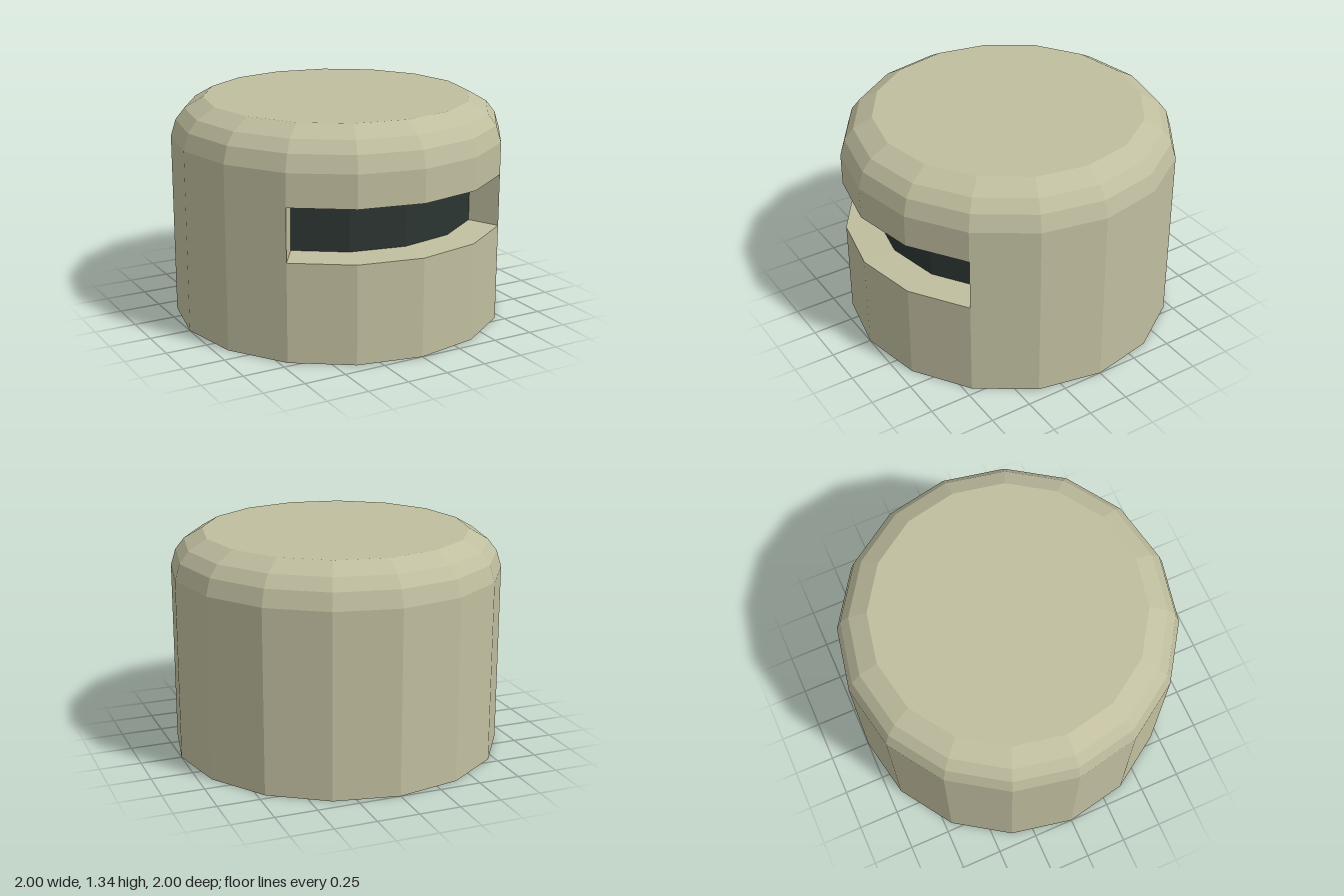
import * as THREE from 'three';

const SIDES = 16;
const STEP = (Math.PI * 2) / SIDES;

const shellMaterial = new THREE.MeshStandardMaterial({ color: 0xc0be9f, flatShading: true, side: THREE.DoubleSide });
const darkMaterial = new THREE.MeshStandardMaterial({ color: 0x2c3532, flatShading: true, side: THREE.DoubleSide });

// Slot: four facets wide, set into the front wall
const SLOT = { start: -2, count: 4, bottom: 0.59, top: 0.905 };
const INNER = { radius: 0.85, shift: -0.05, bottom: 0.6, top: 0.9 };

// Faceted surface of revolution; facet 0 starts at the middle of the front (+z)
function facets(profile, start = 0, count = SIDES) {
  const points = profile.map(([r, y]) => new THREE.Vector2(r, y));
  return new THREE.LatheGeometry(points, count, start * STEP, count * STEP);
}

// Push the vertices of the slot's inner wall back
function recess(geometry) {
  const p = geometry.attributes.position;
  for (let i = 0; i < p.count; i++) {
    if (Math.hypot(p.getX(i), p.getZ(i)) < 0.9) p.setZ(i, p.getZ(i) + INNER.shift);
  }
  return geometry;
}

function part(name, geometry, material = shellMaterial) {
  const flat = geometry.index ? geometry.toNonIndexed() : geometry;
  flat.computeVertexNormals();
  const mesh = new THREE.Mesh(flat, material);
  mesh.name = name;
  return mesh;
}

// Upright wall closing one end of the slot
function slotEnd(side) {
  const c = Math.SQRT1_2;
  const r = INNER.radius * c;
  const corners = [
    [c, SLOT.bottom, c], [c, SLOT.top, c],
    [r, INNER.top, r + INNER.shift], [r, INNER.bottom, r + INNER.shift],
  ].map(([x, y, z]) => [x * side, y, z]);
  const order = side > 0 ? [0, 2, 1, 0, 3, 2] : [0, 1, 2, 0, 2, 3];
  const geometry = new THREE.BufferGeometry();
  geometry.setAttribute('position', new THREE.Float32BufferAttribute(order.flatMap((i) => corners[i]), 3));
  return geometry;
}

export function createModel() {
  const model = new THREE.Group();
  model.name = 'slottedCap';

  // Outer wall, open at the bottom and broken by the slot
  const end = SLOT.start + SLOT.count;
  model.add(part('wall', facets([[1, 0], [1, 1.1]], end, SIDES - SLOT.count)));
  model.add(part('wallBelowSlot', facets([[1, 0], [1, SLOT.bottom]], SLOT.start, SLOT.count)));
  model.add(part('wallAboveSlot', facets([[1, SLOT.top], [1, 1.1]], SLOT.start, SLOT.count)));

  // Rounded shoulder and flat top
  model.add(part('shoulder', facets([[1, 1.1], [0.97, 1.2], [0.915, 1.27], [0.803, 1.335]])));
  const top = new THREE.CircleGeometry(0.803, SIDES).rotateX(-Math.PI / 2).translate(0, 1.335, 0);
  model.add(part('top', top));

  // Slot recess with a dark back
  const { radius, bottom, top: innerTop } = INNER;
  const slot = new THREE.Group();
  slot.name = 'slot';
  const ring = (profile) => recess(facets(profile, SLOT.start, SLOT.count));
  slot.add(part('slotFloor', ring([[1, SLOT.bottom], [radius, bottom]])));
  slot.add(part('slotCeiling', ring([[radius, innerTop], [1, SLOT.top]])));
  slot.add(part('slotBack', ring([[radius, bottom], [radius, innerTop]]), darkMaterial));
  slot.add(part('slotLeftEnd', slotEnd(1)));
  slot.add(part('slotRightEnd', slotEnd(-1)));
  model.add(slot);

  return model;
}
